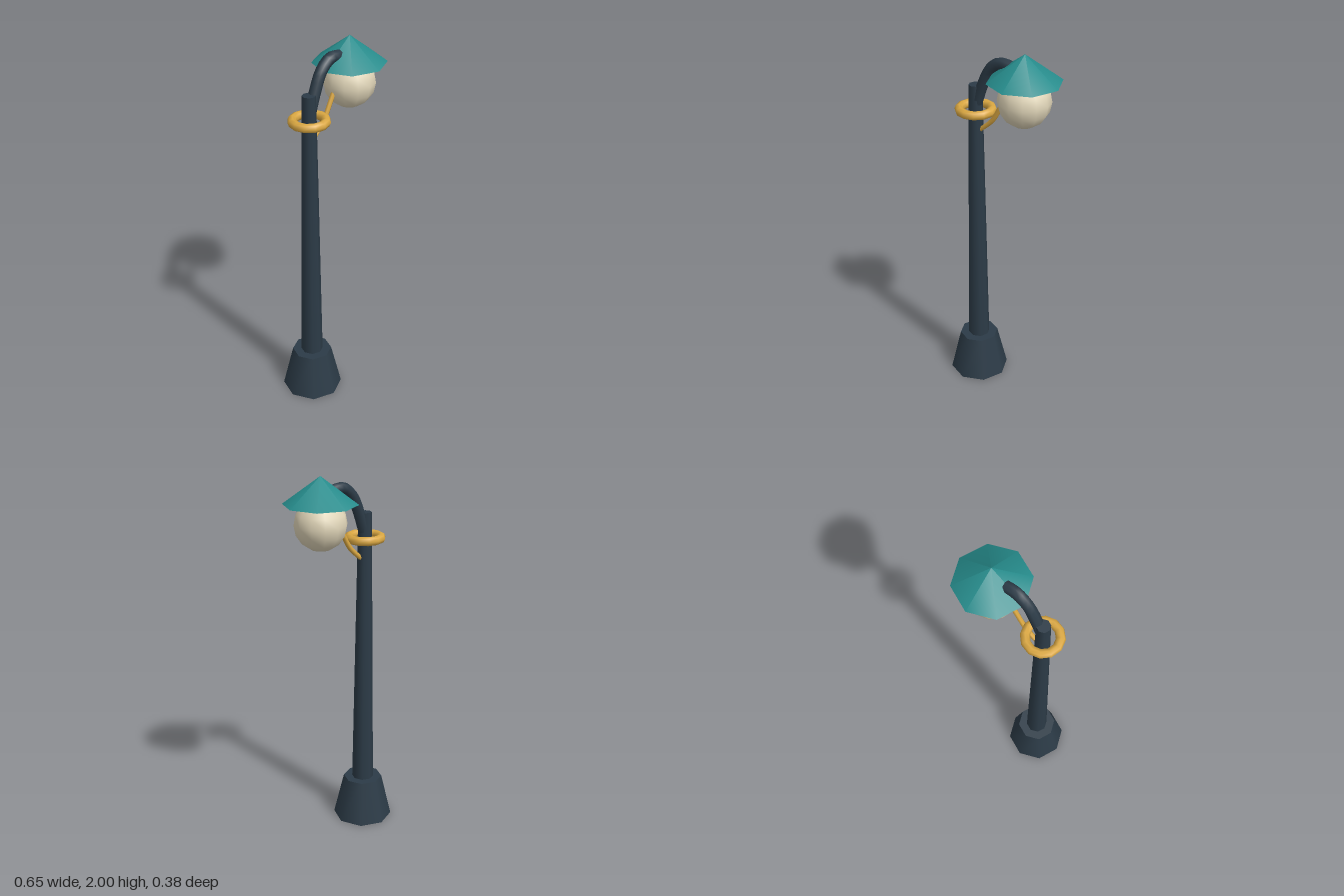
import * as THREE from 'three';

const material = (name, color) => {
  const m = new THREE.MeshStandardMaterial({ color });
  m.name = name;
  return m;
};

// Swept round bar through a few points in the x-y plane
const bar = (points, radius, sides) => new THREE.TubeGeometry(
  new THREE.CatmullRomCurve3(points.map(([x, y]) => new THREE.Vector3(x, y, 0))), 14, radius, sides);

export function createModel() {
  const iron = material('dark iron', 0x2c3b47);
  const teal = material('teal enamel', 0x268c8c);
  const brass = material('brass', 0xdba842);
  const glass = material('cream glass', 0xe0d5b8);

  const group = new THREE.Group();
  group.name = 'streetLamp';
  const add = (name, geometry, mat, x = 0, y = 0) => {
    const mesh = new THREE.Mesh(geometry, mat);
    mesh.name = name;
    mesh.position.set(x, y, 0);
    group.add(mesh);
    return mesh;
  };

  const poleX = -0.163;
  const lampX = 0.135;

  // Tapered foot and pole
  add('base', new THREE.CylinderGeometry(0.107, 0.163, 0.24, 8), iron, poleX, 0.12);
  add('pole', new THREE.CylinderGeometry(0.035, 0.06, 1.575, 8), iron, poleX, 0.9875);

  // Collar ring around the pole
  add('collarRing', new THREE.TorusGeometry(0.085, 0.024, 8, 12).rotateX(Math.PI / 2), brass, poleX, 1.64);

  // Curved arm, ending inside the shade
  add('arm', bar([[-0.155, 1.68], [-0.119, 1.78], [-0.072, 1.875], [-0.01, 1.921], [0.06, 1.915], [0.12, 1.89]], 0.03, 8), iron);

  // Slim curved brace from the pole to the globe
  add('brace', bar([[-0.14, 1.53], [-0.06, 1.603], [-0.008, 1.69], [0.03, 1.76]], 0.013, 6), brass);

  // Globe and conical shade
  add('globe', new THREE.SphereGeometry(0.136, 12, 8), glass, lampX, 1.76);
  add('shade', new THREE.ConeGeometry(0.191, 0.14, 8), teal, lampX, 1.93);

  return group;
}
